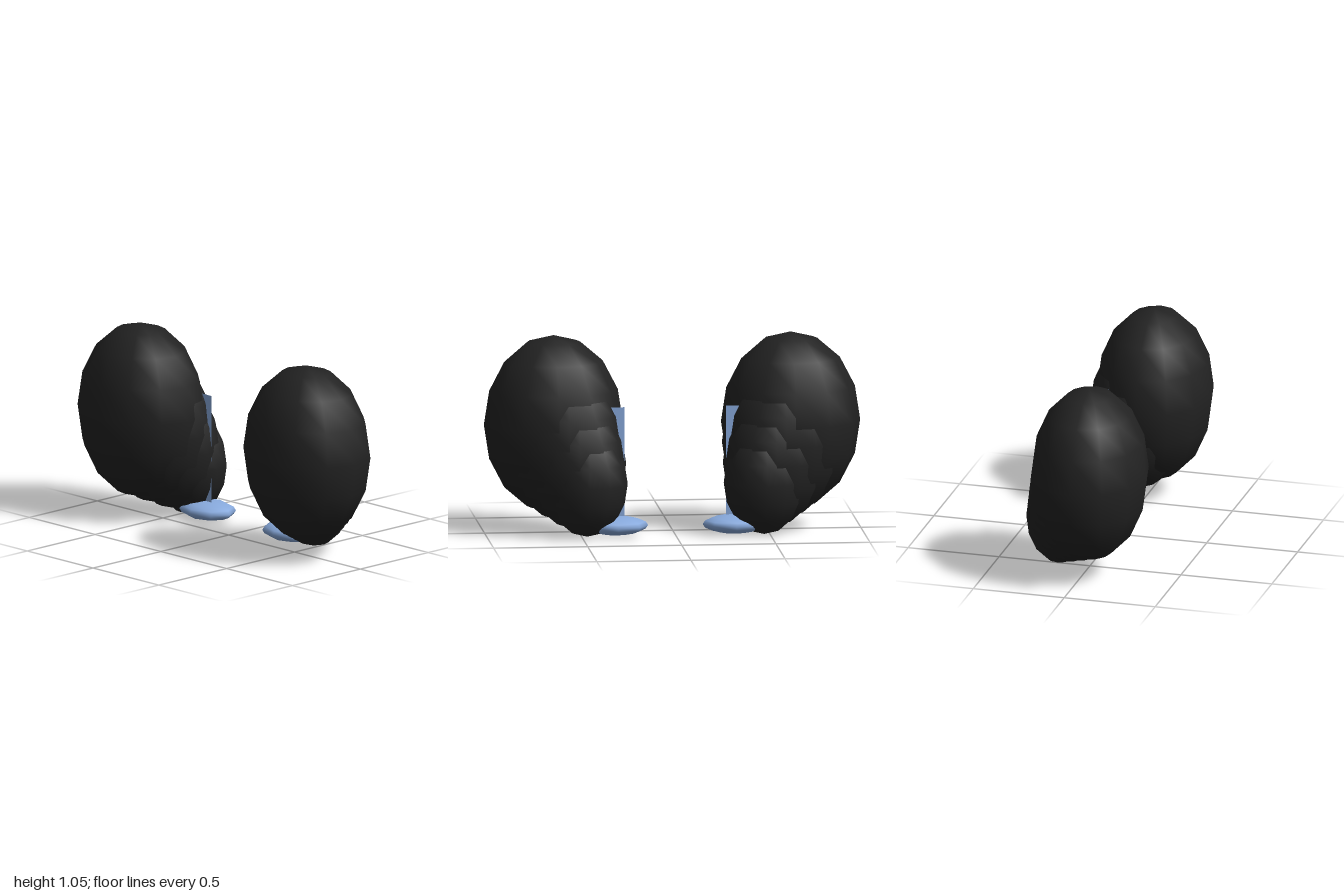
import * as THREE from 'three';

export function createModel() {
  const model = new THREE.Group();
  const black = new THREE.MeshStandardMaterial({ color: 0x222222 });
  black.name = 'black';
  const blue = new THREE.MeshStandardMaterial({ color: 0x88aadd, side: THREE.DoubleSide });
  blue.name = 'light blue';

  function ellipsoid(name, material, radii, position, sides, rings) {
    const geometry = new THREE.SphereGeometry(1, sides, rings);
    geometry.scale(...radii);
    const mesh = new THREE.Mesh(geometry, material);
    mesh.name = name;
    mesh.position.set(...position);
    return mesh;
  }

  // Each body is a chain of four ellipsoids shrinking down, inward and back
  const bigCentre = [0.63, 0.58, 0.035], smallCentre = [0.47, 0.285, -0.168];
  const bigRadii = [0.37, 0.475, 0.315], smallRadii = [0.215, 0.28, 0.185];
  const mix = (a, b, t) => a.map((v, i) => THREE.MathUtils.lerp(v, b[i], t));

  for (const side of [1, -1]) {
    const half = new THREE.Group();
    half.name = side > 0 ? 'leftFigure' : 'rightFigure';
    for (let i = 0; i < 4; i++) {
      const c = mix(bigCentre, smallCentre, i / 3);
      c[0] *= side;
      half.add(ellipsoid('body' + (i + 1), black, mix(bigRadii, smallRadii, i / 3), c, 12, 8));
    }

    // Flat leg strip, mostly hidden in the body
    const leg = new THREE.Mesh(new THREE.PlaneGeometry(0.09, 0.63), blue);
    leg.name = 'leg';
    leg.position.set(side * 0.315, 0.375, -0.135);
    half.add(leg);

    // Flattened foot
    half.add(ellipsoid('foot', blue, [0.17, 0.05, 0.13], [side * 0.315, 0.06, -0.15], 8, 8));
    model.add(half);
  }
  return model;
}
